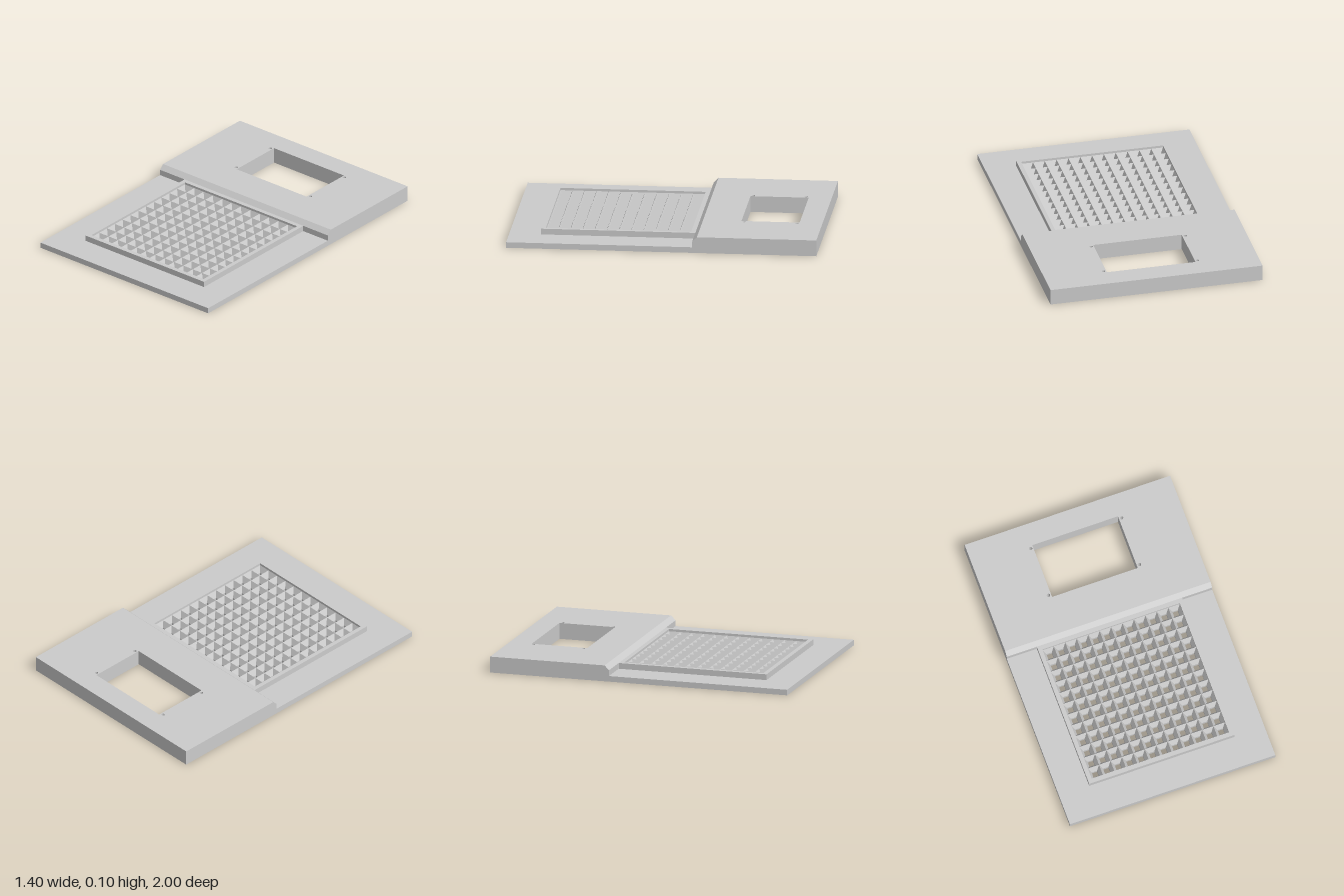
import * as THREE from 'three';
import { mergeGeometries } from 'three/addons/utils/BufferGeometryUtils.js';

const material = new THREE.MeshStandardMaterial({ color: 0xcccccc, flatShading: true });

const HALF_WIDTH = 0.7;
const STEP_Z = -0.2; // where the raised rear block begins
const BASE_TOP = 0.037, TRAY_TOP = 0.075, BLOCK_TOP = 0.105;
const CELLS = 12, PITCH = 0.078, GRID_Z = 0.2975;
const GRID_HALF = (CELLS * PITCH) / 2;

// Rectangle in plan; shape y is -z
function rect(Type, x0, x1, z0, z1) {
  const p = [[x0, -z1], [x1, -z1], [x1, -z0], [x0, -z0]];
  return new Type(p.map(([x, y]) => new THREE.Vector2(x, y)));
}

// Slab with its plan outline raised from y0 to y1
function slab(shape, y0, y1, steps = 1) {
  const geometry = new THREE.ExtrudeGeometry(shape, { depth: y1 - y0, steps, bevelEnabled: false, curveSegments: 8 });
  return geometry.rotateX(-Math.PI / 2).translate(0, y0, 0);
}

function gridOpening() {
  return rect(THREE.Path, -GRID_HALF, GRID_HALF, GRID_Z - GRID_HALF, GRID_Z + GRID_HALF);
}

export function createModel() {
  const group = new THREE.Group();
  const add = (name, geometry) => {
    const mesh = new THREE.Mesh(geometry, material);
    mesh.name = name;
    group.add(mesh);
  };

  // Thin front plate
  const plate = rect(THREE.Shape, -HALF_WIDTH, HALF_WIDTH, STEP_Z, 1);
  plate.holes.push(gridOpening());
  add('frontPlate', slab(plate, 0, BASE_TOP));

  // Raised rim around the grid
  const rim = rect(THREE.Shape, -0.495, 0.495, STEP_Z, 0.795);
  rim.holes.push(gridOpening());
  add('trayRim', slab(rim, BASE_TOP, TRAY_TOP));

  // Rear block with a window and four screw holes
  const block = rect(THREE.Shape, -HALF_WIDTH, HALF_WIDTH, -1, STEP_Z);
  block.holes.push(rect(THREE.Path, -0.292, 0.292, -0.852, -0.477));
  for (const x of [-0.31, 0.31]) {
    for (const z of [-0.834, -0.495]) {
      block.holes.push(new THREE.Path().absarc(x, -z, 0.011, 0, Math.PI * 2, true));
    }
  }
  const blockGeometry = slab(block, 0, BLOCK_TOP, 7);
  // Chamfer the upper front edge
  const pos = blockGeometry.attributes.position;
  for (let i = 0; i < pos.count; i++) {
    if (pos.getZ(i) > STEP_Z - 0.001) {
      pos.setZ(i, STEP_Z - Math.max(0, pos.getY(i) - TRAY_TOP));
    }
  }
  blockGeometry.computeVertexNormals();
  add('rearBlock', blockGeometry);

  // Grid of square funnels, each ending in a small through hole
  const outer = (PITCH / 2) * Math.SQRT2, inner = 0.0185 * Math.SQRT2;
  const profile = [[outer, 0.06], [inner, 0.02], [inner, 0], [outer, 0]];
  const funnel = new THREE.LatheGeometry(profile.map(([r, y]) => new THREE.Vector2(r, y)), 4, Math.PI / 4);
  const funnels = [];
  for (let i = 0; i < CELLS; i++) {
    for (let j = 0; j < CELLS; j++) {
      const x = (i + 0.5) * PITCH - GRID_HALF;
      const z = (j + 0.5) * PITCH - GRID_HALF + GRID_Z;
      funnels.push(funnel.clone().translate(x, 0, z));
    }
  }
  add('funnelGrid', mergeGeometries(funnels));

  return group;
}
